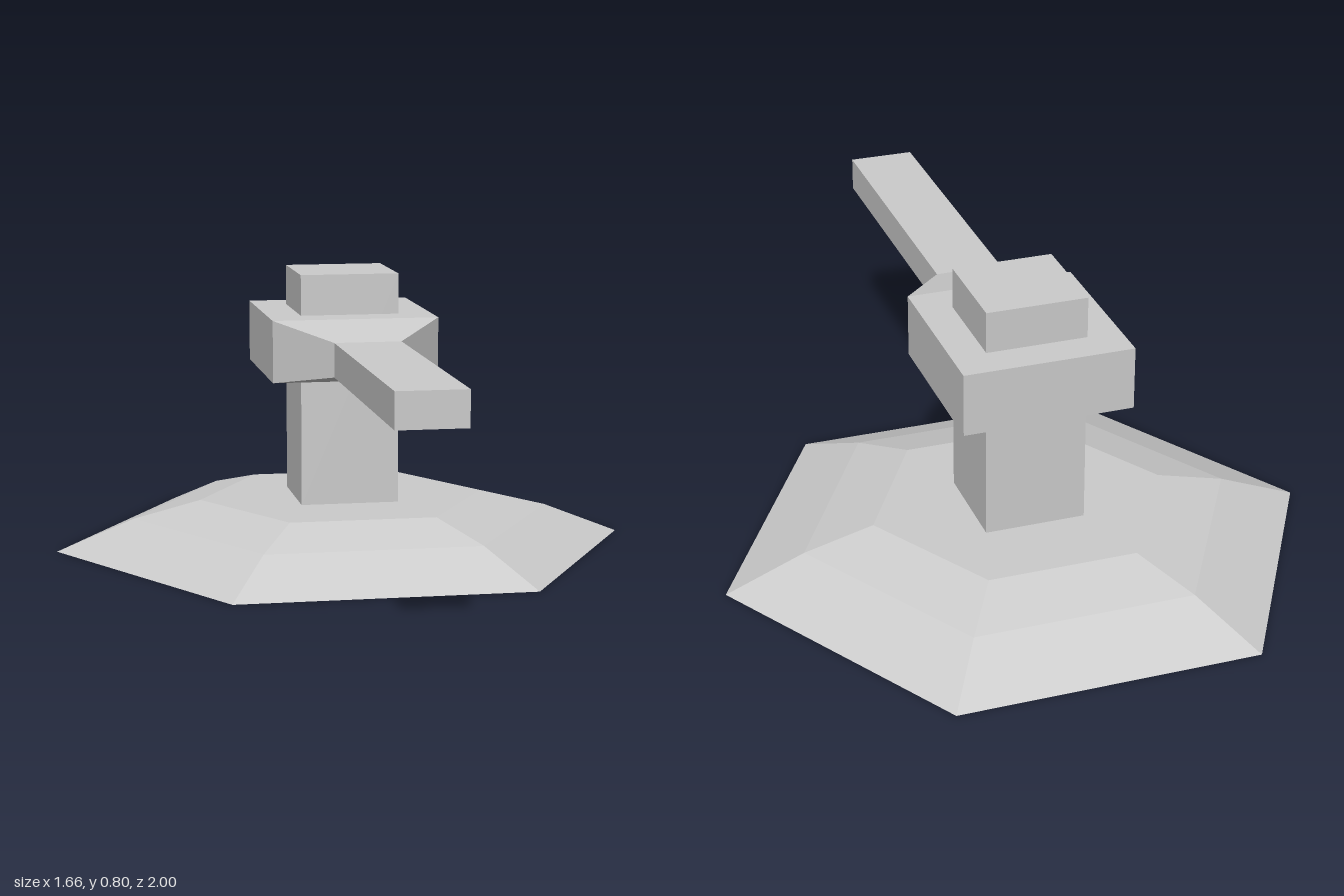
import * as THREE from 'three';

const AXIS_Z = -0.28; // the post and base share this axis

// Closed solid through rectangular sections [z, halfWidth, yLow, yHigh], back to front
function loftRects(sections) {
  const pos = [];
  const index = [];
  for (const [z, w, lo, hi] of sections) {
    pos.push(-w, lo, z, w, lo, z, w, hi, z, -w, hi, z);
  }
  for (let s = 0; s < sections.length - 1; s++) {
    for (let k = 0; k < 4; k++) {
      const a = s * 4 + k;
      const b = s * 4 + (k + 1) % 4;
      index.push(a, b, b + 4, a, b + 4, a + 4);
    }
  }
  const e = (sections.length - 1) * 4;
  index.push(0, 2, 1, 0, 3, 2, e, e + 1, e + 2, e, e + 2, e + 3);
  const indexed = new THREE.BufferGeometry();
  indexed.setAttribute('position', new THREE.Float32BufferAttribute(pos, 3));
  indexed.setIndex(index);
  const geometry = indexed.toNonIndexed();
  geometry.computeVertexNormals();
  return geometry;
}

export function createModel() {
  const group = new THREE.Group();
  group.name = 'postWithLever';
  const solid = new THREE.MeshStandardMaterial({ color: 0xcccccc, flatShading: true });
  const shell = new THREE.MeshStandardMaterial({
    color: 0xcccccc, flatShading: true, side: THREE.DoubleSide,
  });

  const add = (name, geometry, material) => {
    const mesh = new THREE.Mesh(geometry, material);
    mesh.name = name;
    group.add(mesh);
    return mesh;
  };

  // Hollow six-sided dome, open underneath
  const profile = [[0.83, 0], [0.61, 0.088], [0.415, 0.137], [0, 0.137]]
    .map(([r, y]) => new THREE.Vector2(r, y));
  add('base', new THREE.LatheGeometry(profile, 6, Math.PI / 2), shell)
    .position.z = AXIS_Z;

  // Square post standing on the dome
  add('post', new THREE.BoxGeometry(0.28, 0.66, 0.28), solid)
    .position.set(0, 0.47, AXIS_Z);

  // Lever: block around the post, tapering into a slim handle
  add('lever', loftRects([
    [-0.52, 0.235, 0.51, 0.685],
    [-0.04, 0.235, 0.51, 0.685],
    [0.145, 0.093, 0.55, 0.645],
    [1.0, 0.093, 0.55, 0.645],
  ]), solid);

  return group;
}
